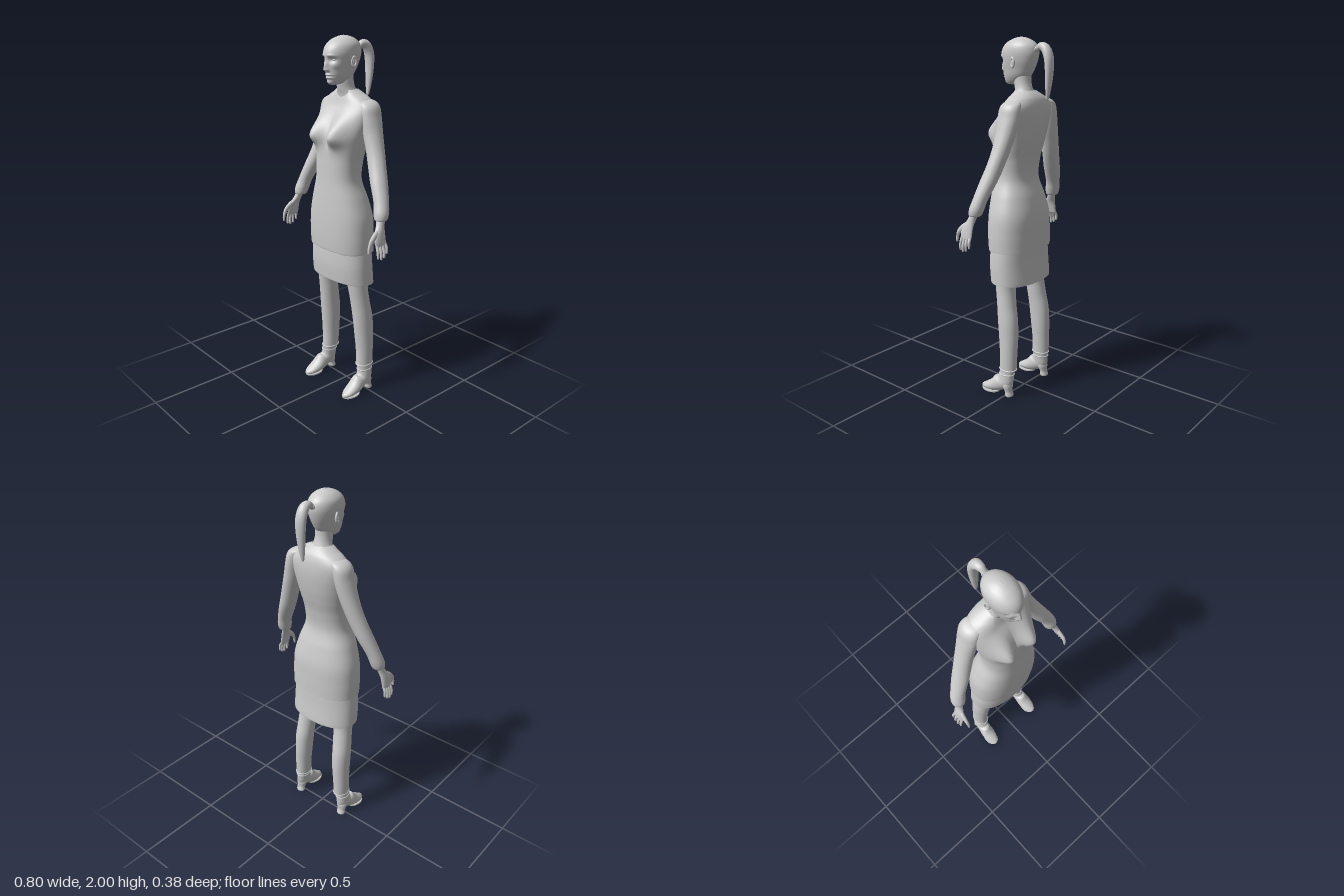
import * as THREE from 'three';
import { ParametricGeometry } from 'three/addons/geometries/ParametricGeometry.js';

const material = new THREE.MeshStandardMaterial({ color: 0xcccccc, side: THREE.DoubleSide });

function add(parent, name, geometry) {
  const mesh = new THREE.Mesh(geometry, material);
  mesh.name = name;
  parent.add(mesh);
  return mesh;
}

// Smooth interpolation through the rows of a table, t in 0..1
function sample(rows, t) {
  const n = rows.length - 1;
  const i = Math.max(0, Math.min(n - 1, Math.floor(t * n)));
  const f = t * n - i;
  const [p, a, b, q] = [rows[Math.max(0, i - 1)], rows[i], rows[i + 1], rows[Math.min(n, i + 2)]];
  return a.map((_, k) => {
    const m0 = (b[k] - p[k]) / 2, m1 = (q[k] - a[k]) / 2, d = b[k] - a[k];
    return a[k] + f * (m0 + f * (3 * d - 2 * m0 - m1 + f * (m0 + m1 - 2 * d)));
  });
}

// Limb surface; rows are [x, y, z, radiusX, radiusZ, tilt], ordered from bottom to top
function loft(rows, around = 24, along = 40) {
  const full = rows.map((r) => [...r, 0].slice(0, 6));
  return new ParametricGeometry((u, v, p) => {
    const [x, y, z, rx, rz, tilt] = sample(full, v);
    const a = u * Math.PI * 2, w = rz * Math.cos(a);
    p.set(x + rx * Math.sin(a), y - w * Math.sin(tilt), z + w * Math.cos(tilt));
  }, around, along);
}

const bell = (d, s) => Math.exp(-((d / s) ** 2));

// Point on a rounded cross-section spanning zBack..zFront
function ring(p, a, y, rx, zFront, zBack, power = 2.3) {
  const s = Math.sin(a), c = Math.cos(a);
  const k = (Math.abs(s) ** power + Math.abs(c) ** power) ** (-1 / power);
  return p.set(rx * k * s, y, (zFront + zBack) / 2 + ((zFront - zBack) / 2) * k * c);
}

// [y, half width, front z, back z, half width of the jacket opening]
const TORSO = [
  [0.855, 0.195, 0.153, -0.088, 0.1],
  [0.875, 0.196, 0.156, -0.088, 0.062],
  [0.95, 0.196, 0.16, -0.088, 0.048],
  [1.05, 0.188, 0.16, -0.085, 0.036],
  [1.15, 0.16, 0.156, -0.065, 0.028],
  [1.25, 0.126, 0.15, -0.038, 0.022],
  [1.35, 0.126, 0.147, -0.048, 0.022],
  [1.43, 0.139, 0.143, -0.068, 0.022],
  [1.5, 0.152, 0.13, -0.083, 0.025],
  [1.58, 0.166, 0.095, -0.093, 0.035],
  [1.64, 0.168, 0.06, -0.092, 0.045],
  [1.68, 0.13, 0.045, -0.082, 0.05],
  [1.705, 0.085, 0.037, -0.066, 0.045],
  [1.725, 0.05, 0.032, -0.045, 0.036],
];

function torsoPoint(p, a, row, off) {
  ring(p, a, row[0], row[1] + off, row[2] + off, row[3] - off);
  if (Math.cos(a) > 0) {
    const dy = p.y - 1.495;
    p.z += 0.062 * Math.cos(a) ** 0.5 * bell(Math.abs(p.x) - 0.08, 0.05) * bell(dy, dy < 0 ? 0.055 : 0.085);
  }
}

function buildClothes(g) {
  add(g, 'innerTop', new ParametricGeometry((u, v, p) => {
    torsoPoint(p, u * Math.PI * 2, sample(TORSO, v), 0);
  }, 72, 80));
  // Open jacket, its front edges and hem turned inwards
  add(g, 'jacket', new ParametricGeometry((u, v, p) => {
    const row = sample(TORSO, v);
    const gap = Math.asin(Math.min(0.9, row[4] / row[1]));
    const edge = Math.min(u, 1 - u, v) < 1e-3;
    torsoPoint(p, gap + u * 2 * (Math.PI - gap), row, edge ? -0.004 : 0.01);
  }, 80, 90));
  // Skirt, open below with its hem lower at the back
  const skirt = [
    [0.672, 0.208, 0.143, -0.09],
    [0.69, 0.208, 0.146, -0.09],
    [0.78, 0.206, 0.153, -0.083],
    [0.88, 0.197, 0.15, -0.08],
    [0.95, 0.185, 0.14, -0.075],
  ];
  add(g, 'skirt', new ParametricGeometry((u, v, p) => {
    const a = u * Math.PI * 2;
    ring(p, a, ...sample(skirt, v));
    p.y += 0.01 * (1 - v) * Math.cos(a);
  }, 64, 24));
}

function buildHead(g) {
  add(g, 'neck', loft([
    [0, 1.66, -0.015, 0.085, 0.055], [0, 1.7, -0.008, 0.066, 0.052], [0, 1.73, 0.003, 0.049, 0.049],
    [0, 1.77, 0.012, 0.044, 0.048], [0, 1.83, 0.015, 0.045, 0.05],
  ], 32, 24));
  const skull = [
    [1.752, 0.004, 0.09, 0.07], [1.756, 0.022, 0.112, 0.04], [1.77, 0.038, 0.122, 0.005],
    [1.8, 0.054, 0.13, -0.035], [1.84, 0.065, 0.134, -0.06], [1.88, 0.075, 0.138, -0.076],
    [1.92, 0.079, 0.14, -0.083], [1.955, 0.073, 0.122, -0.074], [1.98, 0.053, 0.09, -0.048],
    [1.995, 0.025, 0.052, -0.012], [2, 0.002, 0.022, 0.018],
  ];
  // Face modelled by pushing the skull surface in and out
  add(g, 'head', new ParametricGeometry((u, v, p) => {
    const a = u * Math.PI * 2;
    ring(p, a, ...sample(skull, v), 2);
    if (Math.cos(a) <= 0) return;
    const { x, y } = p, ax = Math.abs(x);
    const nose = y > 1.832 ? bell(y - 1.832, 0.04) : bell(y - 1.832, 0.009);
    p.z += 0.022 * bell(x, 0.011) * nose
      + 0.007 * bell(ax - 0.011, 0.007) * bell(y - 1.831, 0.009)
      - 0.013 * bell(ax - 0.03, 0.019) * bell(y - 1.881, 0.014)
      + 0.005 * bell(ax - 0.03, 0.022) * bell(y - 1.903, 0.008)
      + 0.005 * bell(ax - 0.045, 0.016) * bell(y - 1.85, 0.016)
      + 0.008 * bell(x, 0.021) * (bell(y - 1.806, 0.006) + bell(y - 1.791, 0.006))
      - 0.006 * bell(x, 0.024) * bell(y - 1.799, 0.003)
      + 0.006 * bell(x, 0.02) * bell(y - 1.765, 0.011);
  }, 128, 120));
  for (const s of [-1, 1]) {
    const eye = add(g, 'eye', new THREE.SphereGeometry(0.012, 16, 12));
    eye.position.set(s * 0.03, 1.881, 0.108);
    eye.scale.set(1.1, 0.6, 1);
    const ear = add(g, 'ear', new THREE.TorusGeometry(0.016, 0.006, 8, 20));
    ear.position.set(s * 0.078, 1.87, 0.018);
    ear.rotation.y = s * 1.3;
    ear.scale.set(0.8, 1.4, 1);
    const lobe = add(g, 'earInner', new THREE.SphereGeometry(0.015, 12, 10));
    lobe.position.set(s * 0.075, 1.866, 0.018);
    lobe.scale.set(0.4, 1.3, 0.9);
  }
  // Ponytail arching up and over, then hanging down
  add(g, 'ponytail', loft([
    [0, 1.675, -0.152, 0.002, 0.002], [0, 1.69, -0.153, 0.01, 0.008], [0, 1.76, -0.16, 0.021, 0.016],
    [0, 1.84, -0.164, 0.028, 0.021], [0, 1.9, -0.159, 0.03, 0.024, 0.2], [0, 1.941, -0.138, 0.027, 0.025, 0.9],
    [0, 1.952, -0.108, 0.021, 0.02, 1.65], [0, 1.937, -0.083, 0.015, 0.014, 2.1], [0, 1.92, -0.06, 0.016, 0.015, 2.2],
  ], 28, 60));
  const tie = add(g, 'hairTie', new THREE.TorusGeometry(0.015, 0.005, 10, 24));
  tie.position.set(0, 1.937, -0.083);
  tie.rotation.x = -0.5;
}

function buildArm(g) {
  add(g, 'sleeve', loft([
    [0.337, 1.09, 0.062, 0.026, 0.026], [0.336, 1.098, 0.06, 0.035, 0.036], [0.331, 1.13, 0.053, 0.04, 0.041],
    [0.316, 1.18, 0.04, 0.04, 0.041], [0.275, 1.27, 0.018, 0.046, 0.047], [0.24, 1.35, 0, 0.049, 0.047],
    [0.21, 1.43, -0.014, 0.049, 0.05], [0.183, 1.51, -0.022, 0.05, 0.056], [0.163, 1.59, -0.025, 0.048, 0.063],
    [0.15, 1.645, -0.027, 0.046, 0.06], [0.13, 1.672, -0.028, 0.036, 0.045], [0.11, 1.685, -0.028, 0.004, 0.006],
  ], 32, 60));
  add(g, 'palm', loft([
    [0.374, 0.962, 0.094, 0.004, 0.028], [0.373, 0.972, 0.094, 0.011, 0.036], [0.368, 1.0, 0.095, 0.014, 0.038],
    [0.36, 1.035, 0.09, 0.016, 0.034], [0.348, 1.07, 0.075, 0.019, 0.025], [0.337, 1.11, 0.06, 0.023, 0.025],
  ]));
  // Four fingers from the little finger to the index finger
  [0.919, 0.902, 0.896, 0.904].forEach((tip, i) => {
    const z = 0.066 + i * 0.0185, dx = 0.004 * Math.sin(i), dz = (i - 1.5) * 0.002;
    add(g, 'finger', loft([
      [0.386 + dx, tip, z + dz, 0.001, 0.001], [0.386 + dx, tip + 0.006, z + dz, 0.006, 0.006],
      [0.385 + dx, tip + 0.035, z + dz, 0.008, 0.0075], [0.374, 0.978, z, 0.009, 0.009],
    ], 12, 16));
  });
  add(g, 'thumb', loft([
    [0.364, 0.935, 0.169, 0.001, 0.001], [0.364, 0.942, 0.169, 0.006, 0.006], [0.364, 0.975, 0.164, 0.008, 0.009],
    [0.364, 1.005, 0.146, 0.01, 0.015, -0.4], [0.36, 1.03, 0.115, 0.012, 0.018, -0.8], [0.355, 1.045, 0.09, 0.012, 0.018, -0.8],
  ], 14, 24));
}

function buildLeg(g) {
  add(g, 'trouserLeg', loft([
    [0.152, 0.157, -0.003, 0.042, 0.052], [0.15, 0.25, -0.005, 0.045, 0.053], [0.146, 0.35, -0.003, 0.049, 0.058],
    [0.143, 0.45, 0.004, 0.052, 0.06], [0.136, 0.55, 0.018, 0.053, 0.056], [0.128, 0.65, 0.03, 0.056, 0.058],
    [0.11, 0.78, 0.032, 0.075, 0.075], [0.1, 0.9, 0.032, 0.08, 0.08],
  ], 32, 48));
  const hem = add(g, 'trouserHem', new THREE.TorusGeometry(0.042, 0.004, 8, 32));
  hem.rotation.x = Math.PI / 2;
  hem.position.set(0.152, 0.161, -0.003);
  hem.scale.y = 1.23;
  add(g, 'boot', loft([
    [0.17, 0.012, 0.175, 0.002, 0.002, -1.5], [0.17, 0.014, 0.17, 0.015, 0.011, -1.5],
    [0.169, 0.022, 0.14, 0.034, 0.021, -1.4], [0.167, 0.038, 0.092, 0.042, 0.036, -1.2],
    [0.165, 0.066, 0.046, 0.038, 0.049, -0.85], [0.163, 0.085, 0.011, 0.036, 0.05, -0.4],
    [0.16, 0.12, 0.002, 0.036, 0.046], [0.156, 0.165, 0, 0.037, 0.047],
  ], 32, 48));
  const strap = add(g, 'bootStrap', new THREE.TorusGeometry(0.036, 0.004, 8, 32));
  strap.rotation.x = Math.PI / 2;
  strap.position.set(0.159, 0.132, 0.001);
  strap.scale.y = 1.26;
  add(g, 'bootHeel', loft([
    [0.165, 0, -0.022, 0.002, 0.002], [0.165, 0.0005, -0.022, 0.026, 0.021], [0.165, 0.03, -0.016, 0.026, 0.02],
    [0.164, 0.06, -0.007, 0.033, 0.031], [0.163, 0.08, -0.001, 0.033, 0.035],
  ], 24, 16));
  // Thin sole under the ball of the foot
  const sole = add(g, 'bootSole', new THREE.CylinderGeometry(0.04, 0.04, 0.008, 32));
  sole.position.set(0.169, 0.004, 0.115);
  sole.scale.z = 1.45;
}

export function createModel() {
  const model = new THREE.Group();
  model.name = 'woman';
  buildClothes(model);
  buildHead(model);
  for (const [side, s] of [['left', 1], ['right', -1]]) {
    const arm = new THREE.Group(), leg = new THREE.Group();
    arm.name = side + 'Arm';
    leg.name = side + 'Leg';
    buildArm(arm);
    buildLeg(leg);
    arm.scale.x = leg.scale.x = s;
    model.add(arm, leg);
  }
  return model;
}
